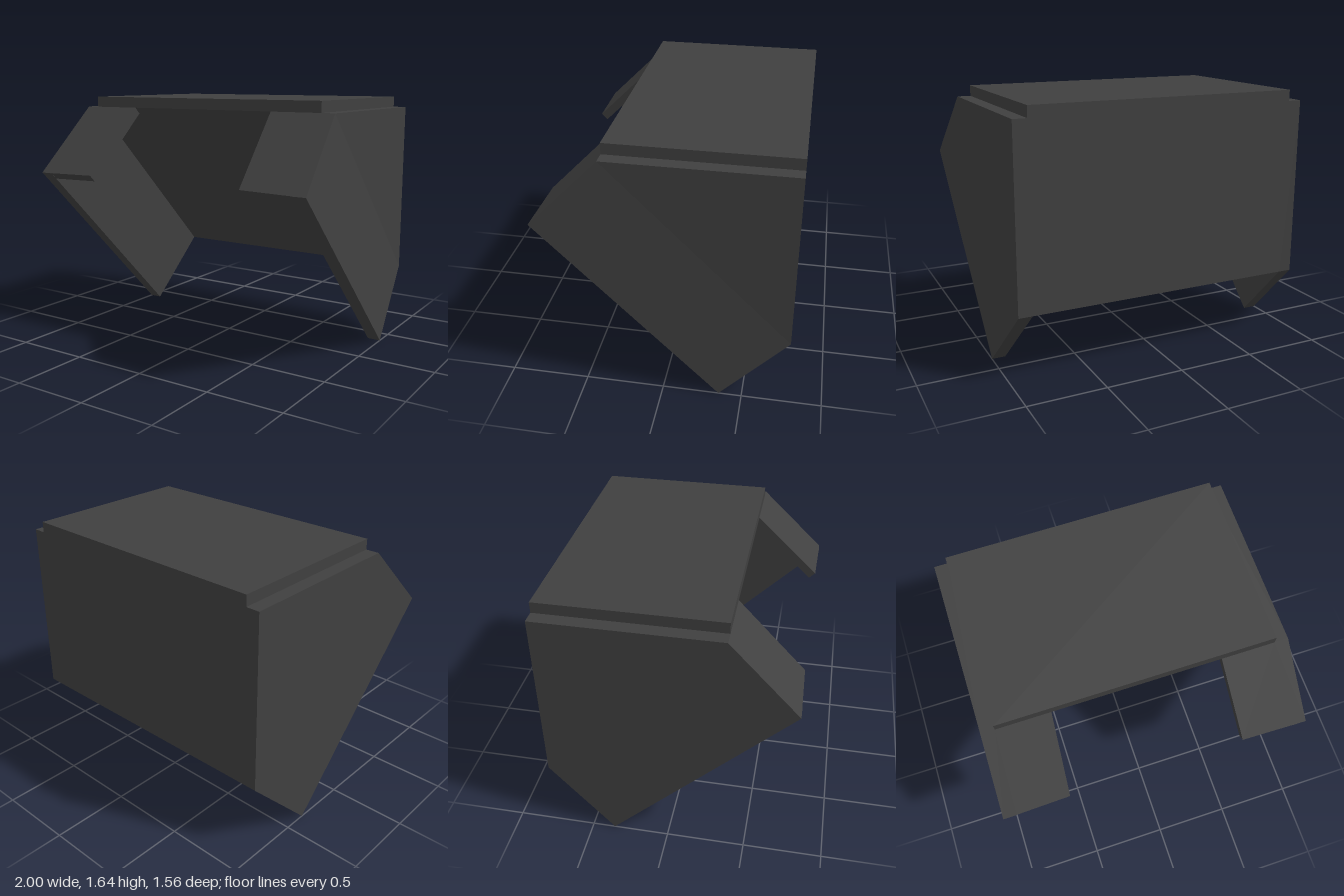
import * as THREE from 'three';

const darkGrey = new THREE.MeshStandardMaterial({ color: 0x404040 });
darkGrey.name = 'dark grey';

// Solid between two matching polygons; a is counter-clockwise seen from outside.
// side = -1 mirrors the solid across x = 0.
function loft(name, a, b, side = 1) {
  const tris = [];
  const n = a.length;
  for (let i = 1; i < n - 1; i++) {
    tris.push([a[0], a[i], a[i + 1]], [b[0], b[i + 1], b[i]]);
  }
  for (let i = 0; i < n; i++) {
    const j = (i + 1) % n;
    tris.push([a[j], a[i], b[i]], [a[j], b[i], b[j]]);
  }
  const pos = [];
  for (const t of tris) {
    const corners = side < 0 ? [t[0], t[2], t[1]] : t;
    for (const [x, y, z] of corners) pos.push(x * side, y, z);
  }
  const geo = new THREE.BufferGeometry();
  geo.setAttribute('position', new THREE.Float32BufferAttribute(pos, 3));
  geo.computeVertexNormals();
  const mesh = new THREE.Mesh(geo, darkGrey);
  mesh.name = name;
  return mesh;
}

export function createModel() {
  const group = new THREE.Group();
  group.name = 'angularHousing';

  const thick = 0.087, top = 1.57, back = -0.782, ridge = 0.355;
  const shift = (pts, dx, dy, dz) => pts.map(([x, y, z]) => [x + dx, y + dy, z + dz]);

  // Five-cornered side panels, flared outwards along the slanted lower edge
  const sideOutline = [
    [0.957, top, ridge],
    [1, 1.14, 0.782],
    [1, 0, -0.355],
    [0.957, 0.43, back],
    [0.957, top, back],
  ];

  // Front flaps, set between the side panel and the opening
  const flapOutline = [
    [0.57, 1.147, 0.774],
    [1 - thick, 1.141, 0.781],
    [0.957 - thick, top, ridge],
    [0.53, top, ridge],
  ];

  for (const side of [1, -1]) {
    const label = side > 0 ? 'left' : 'right';
    group.add(loft(label + 'SidePanel', sideOutline, shift(sideOutline, -thick, 0, 0), side));
    group.add(loft(label + 'FrontFlap', flapOutline, shift(flapOutline, 0, -0.041, -0.041), side));
  }

  // Wedge-shaped core with a sloping underside
  const half = 0.957 - thick;
  const wedge = [[half, top, ridge], [half, 0.43, back], [half, top, back]];
  group.add(loft('wedgeCore', wedge, shift(wedge, -2 * half, 0, 0)));

  // Raised lid plate
  const lid = new THREE.Mesh(new THREE.BoxGeometry(2 * half, 0.07, ridge - back), darkGrey);
  lid.name = 'lidPlate';
  lid.position.set(0, top + 0.035, (ridge + back) / 2);
  group.add(lid);

  return group;
}
